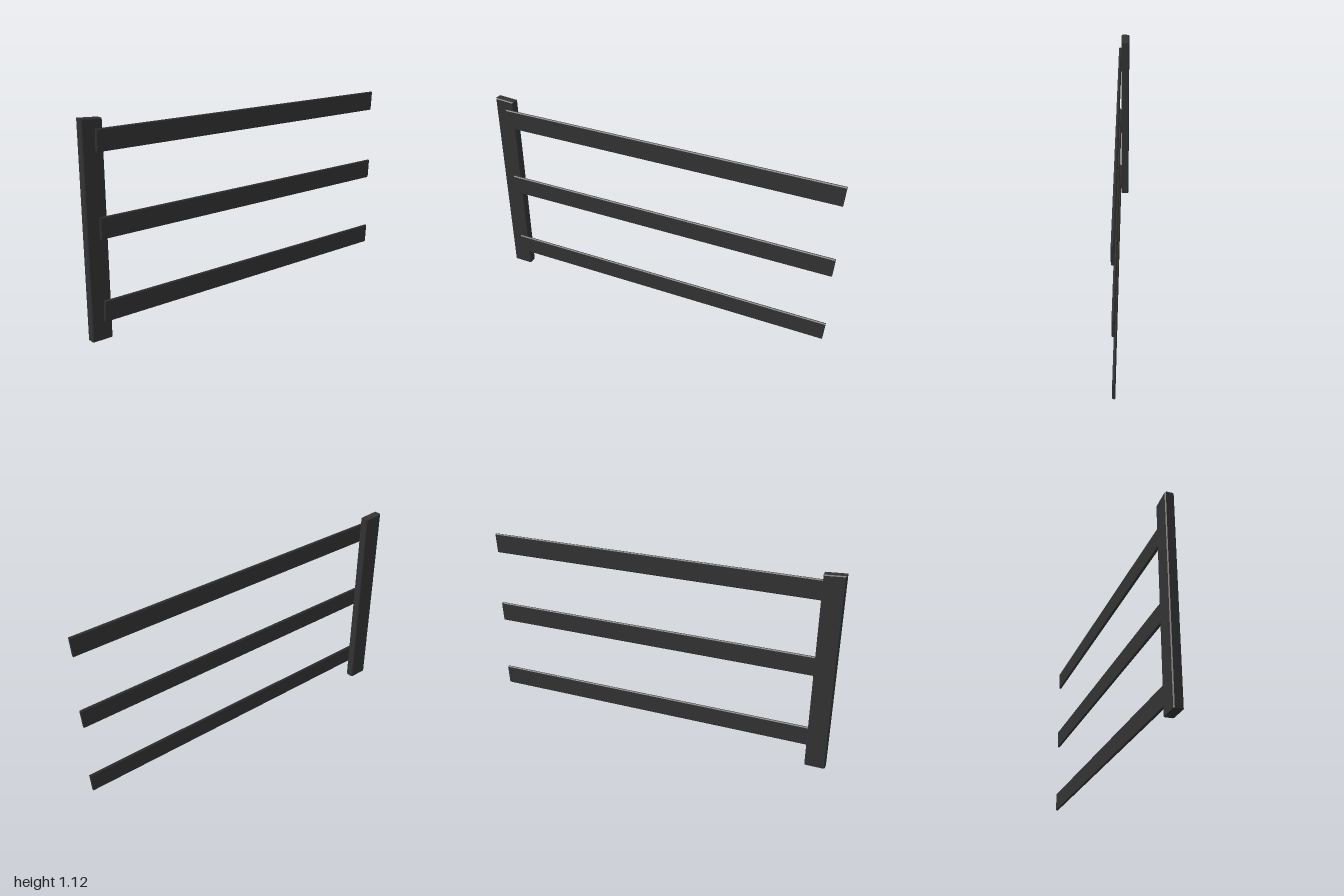
import * as THREE from 'three';

const material = new THREE.MeshStandardMaterial({ color: 0x333333, flatShading: true });

// Plank from an outline in x/y, chamfered on its edges; `cut` moves vertices to leave one end sawn square
function plank(name, corners, zBack, zFront, bevel, cut) {
  const shape = new THREE.Shape(corners.map(([x, y]) => new THREE.Vector2(x, y)));
  const geometry = new THREE.ExtrudeGeometry(shape, {
    depth: zFront - zBack - 2 * bevel,
    bevelThickness: bevel, bevelSize: bevel, bevelOffset: -bevel, bevelSegments: 1,
  });
  geometry.translate(0, 0, zBack + bevel);
  const pos = geometry.attributes.position;
  const v = new THREE.Vector3();
  for (let i = 0; i < pos.count; i++) {
    cut(v.fromBufferAttribute(pos, i));
    pos.setXYZ(i, v.x, v.y, v.z);
  }
  geometry.computeVertexNormals();
  const mesh = new THREE.Mesh(geometry, material);
  mesh.name = name;
  return mesh;
}

export function createModel() {
  const group = new THREE.Group();
  group.name = 'fenceSection';

  // Upright post with a slightly sloping top and a square foot
  group.add(plank('post',
    [[-1, 0], [-0.888, 0], [-0.888, 1.113], [-1, 1.12]],
    -0.031, 0.017, 0.005,
    (v) => { if (v.y < 0.02) v.y = 0; }));

  // Three rails on the front of the post, sawn at a slight slant at the free end
  const height = 0.112;
  ['lowerRail', 'middleRail', 'upperRail'].forEach((name, i) => {
    const y = 0.095 + i * 0.43;
    group.add(plank(name,
      [[-0.936, y], [0.993, y], [1, y + height], [-0.933, y + height]],
      0.017, 0.032, 0.005,
      (v) => { if (v.x > 0.9) v.x = 0.993 + 0.007 * (v.y - y) / height; }));
  });

  return group;
}
